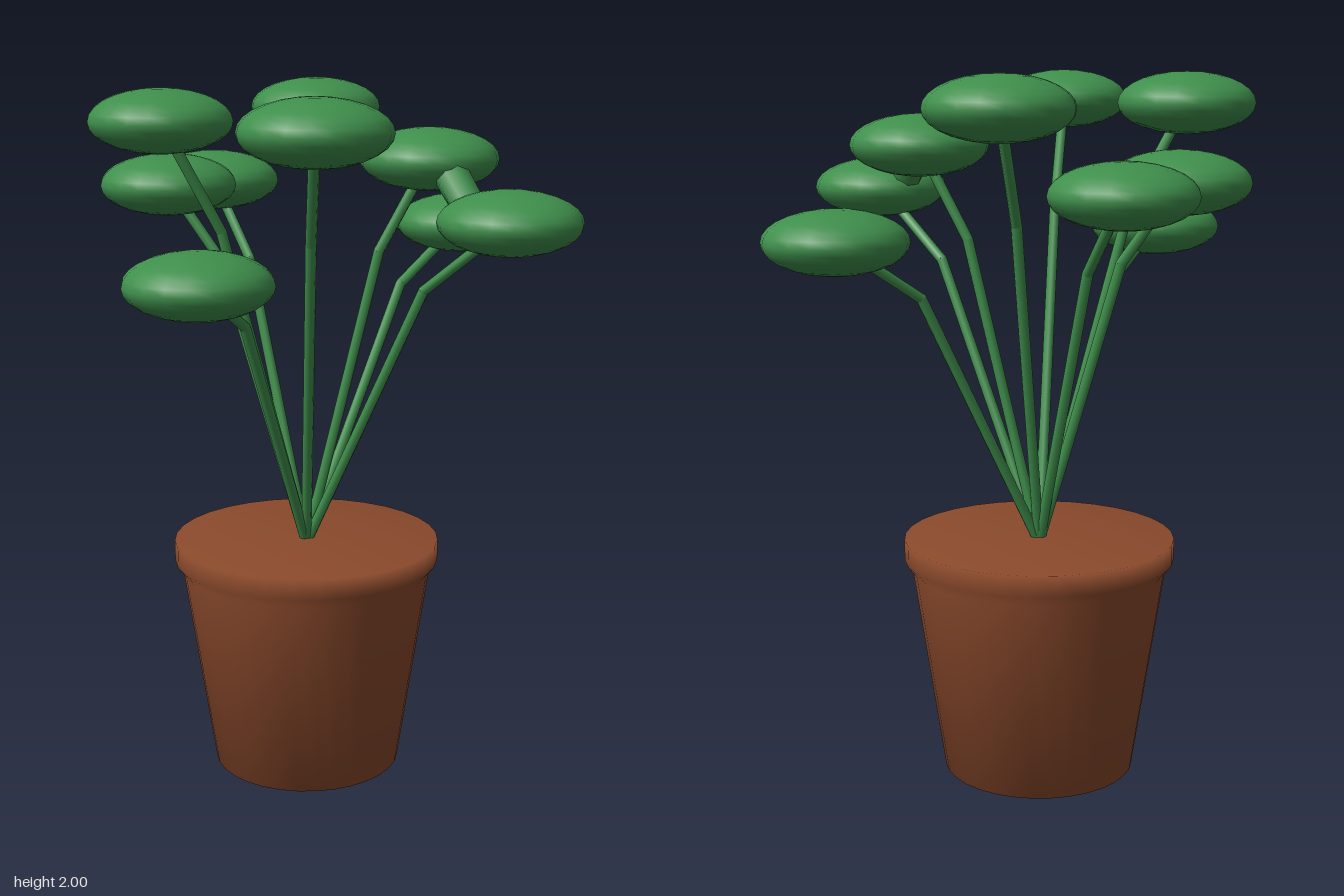
import * as THREE from 'three';

const green = new THREE.MeshStandardMaterial({ color: 0x3f8f4c });
const clay = new THREE.MeshStandardMaterial({ color: 0x8b4a2c });

function add(parent, name, geometry, material) {
  const mesh = new THREE.Mesh(geometry, material);
  mesh.name = name;
  parent.add(mesh);
  return mesh;
}

// Straight rod between two points
function rod(parent, name, a, b, r0, r1 = r0) {
  const dir = b.clone().sub(a);
  const mesh = add(parent, name, new THREE.CylinderGeometry(r1, r0, dir.length(), 8), green);
  mesh.position.copy(a).addScaledVector(dir, 0.5);
  mesh.quaternion.setFromUnitVectors(new THREE.Vector3(0, 1, 0), dir.normalize());
}

export function createModel() {
  const model = new THREE.Group();
  model.name = 'pottedPlant';

  // Tapered pot with a collar, closed at the top and bottom
  const profile = [
    [0, 0], [0.275, 0], [0.365, 0.6], [0.388, 0.63], [0.388, 0.69], [0, 0.69],
  ].map(([r, y]) => new THREE.Vector2(r, y));
  const pot = add(model, 'pot', new THREE.LatheGeometry(profile, 32), clay);
  pot.position.set(-0.083, 0, -0.005);

  // Leaf centres
  const leaves = [
    [0.03, 1.57, -0.61], [-0.34, 1.915, -0.365], [-0.55, 1.7, -0.135],
    [-0.46, 1.715, 0.155], [-0.255, 1.915, 0.39], [0.075, 1.535, 0.605],
    [0.33, 1.915, 0.455], [0.2, 1.8, -0.205], [0.545, 1.66, -0.09],
  ];
  const base = new THREE.Vector3(-0.083, 0.67, -0.005);
  const leafShape = new THREE.SphereGeometry(0.195, 20, 14).scale(1, 0.446, 1);

  for (const p of leaves) {
    const tip = new THREE.Vector3(...p);
    // The stem bends outward at a knee below the leaf
    const knee = base.clone().lerp(tip, 0.6);
    knee.y = 1.385 + 0.585 * (tip.y - 1.535);

    const branch = new THREE.Group();
    branch.name = 'branch';
    model.add(branch);
    rod(branch, 'lowerStem', base, knee, 0.015);
    rod(branch, 'upperStem', knee, tip, 0.015);
    add(branch, 'stemKnee', new THREE.SphereGeometry(0.015, 8, 6), green).position.copy(knee);
    add(branch, 'leaf', leafShape, green).position.copy(tip);
  }

  // Short neck where two neighbouring leaves grow together
  rod(model, 'leafNeck', new THREE.Vector3(0.31, 1.79, -0.13), new THREE.Vector3(0.43, 1.66, -0.1), 0.05, 0.045);
  return model;
}
